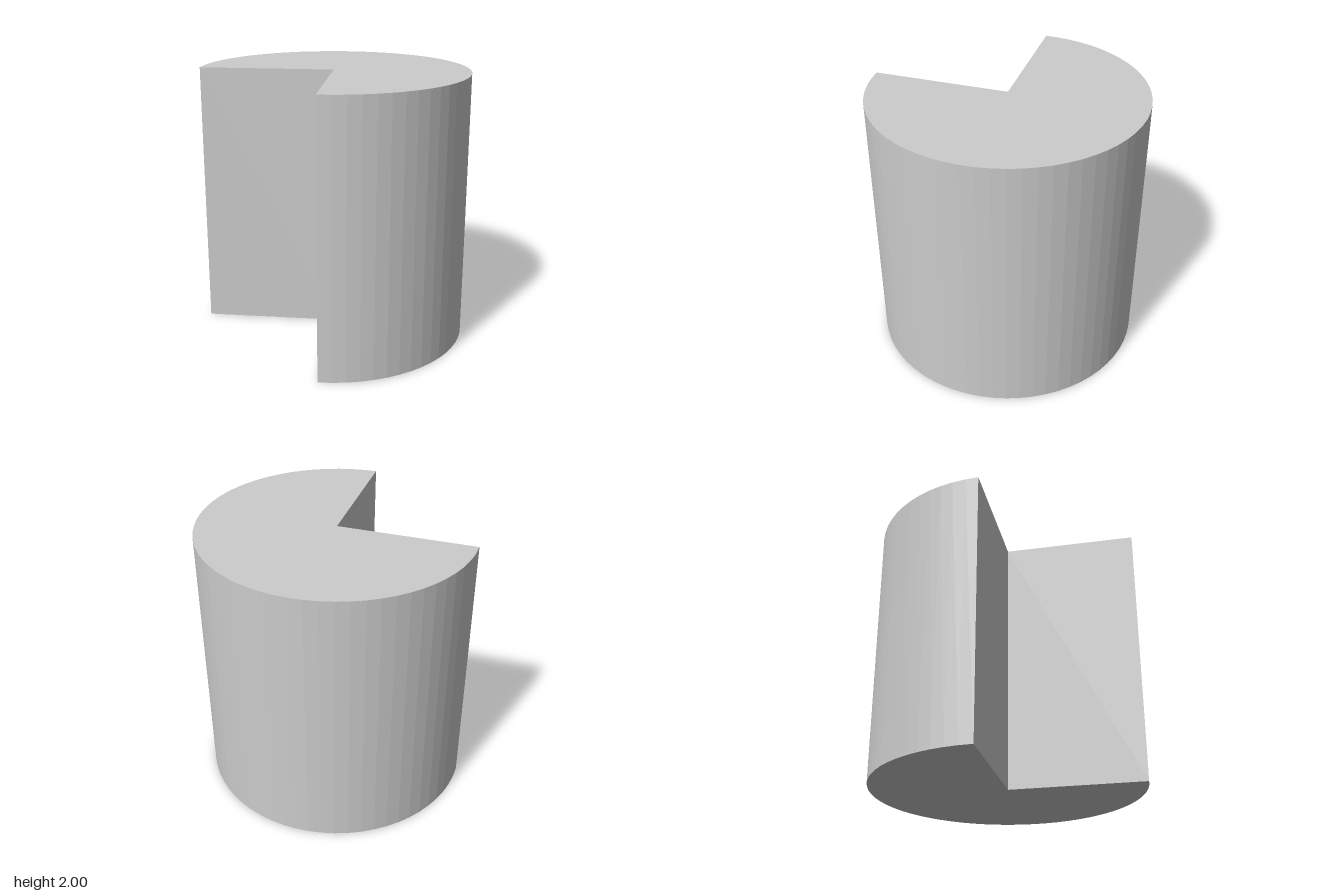
import * as THREE from 'three';

export function createModel() {
  const group = new THREE.Group();
  const material = new THREE.MeshStandardMaterial({ color: 0xcccccc, flatShading: true });

  // Three-quarter disc, open in the front right quadrant
  const sector = new THREE.Shape();
  sector.moveTo(0, 0);
  sector.lineTo(0, -1);
  sector.absarc(0, 0, 1, -Math.PI / 2, Math.PI, false);
  sector.lineTo(0, 0);

  // Raised to full height; the arc gets 48 flat facets
  const geometry = new THREE.ExtrudeGeometry(sector, { depth: 2, bevelEnabled: false, curveSegments: 24 });
  geometry.rotateX(-Math.PI / 2);

  const body = new THREE.Mesh(geometry, material);
  body.name = 'threeQuarterCylinder';
  group.add(body);
  return group;
}
